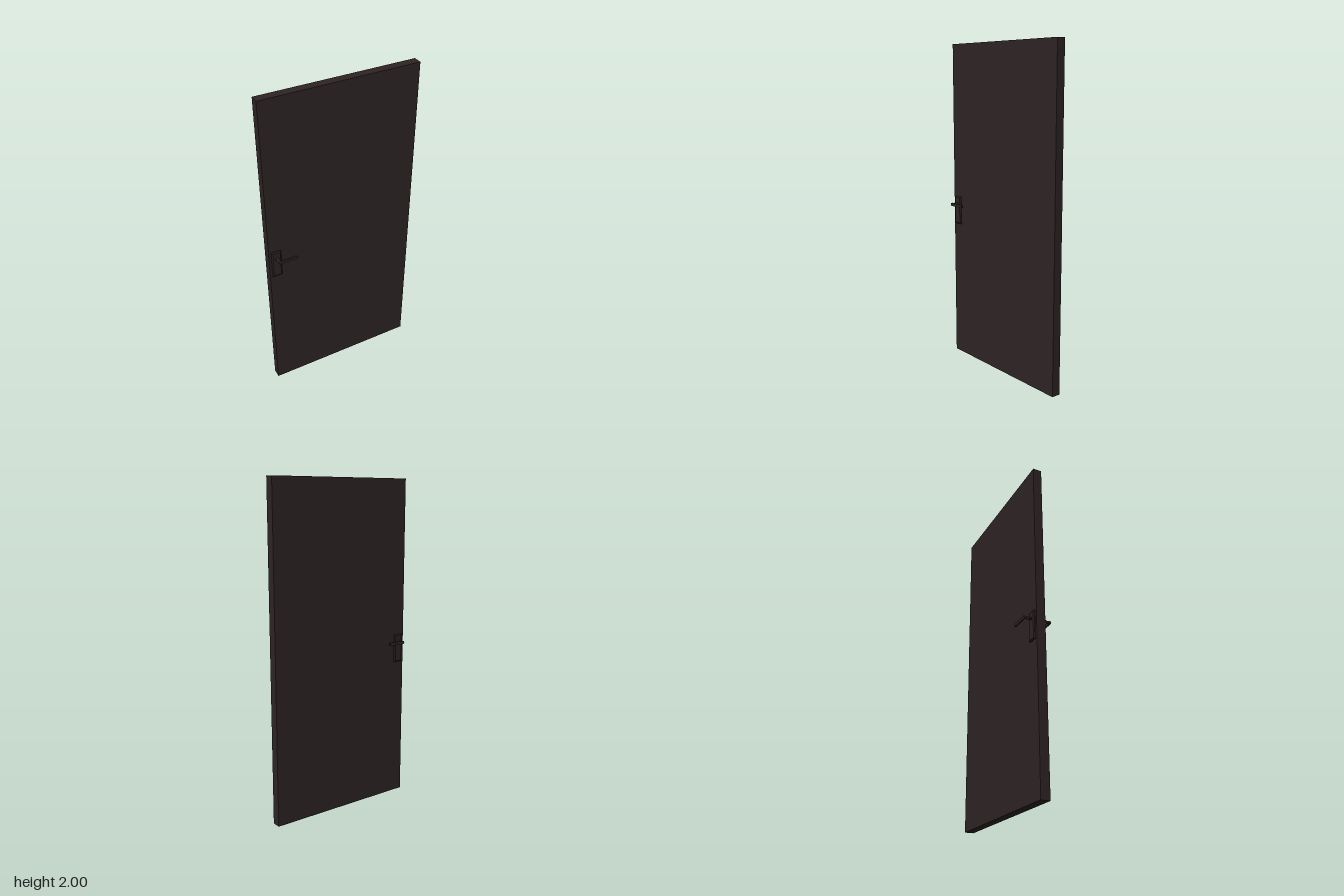
import * as THREE from 'three';

export function createModel() {
  const model = new THREE.Group();
  const darkBrown = new THREE.MeshStandardMaterial({ color: 0x2e2424 });
  darkBrown.name = 'darkBrown';

  const add = (parent, name, geometry, x, y, z) => {
    const mesh = new THREE.Mesh(geometry, darkBrown);
    mesh.name = name;
    mesh.position.set(x, y, z);
    parent.add(mesh);
    return mesh;
  };

  // Door slab
  add(model, 'doorPanel', new THREE.BoxGeometry(0.95, 2, 0.054), 0, 1, 0);

  // Box whose outer (+z) face is drawn in to give bevelled edges
  const bevelledPlate = (w, h, d, inset) => {
    const g = new THREE.BoxGeometry(w, h, d).toNonIndexed();
    const p = g.attributes.position;
    for (let i = 0; i < p.count; i++) {
      if (p.getZ(i) > 0) {
        p.setX(i, p.getX(i) - Math.sign(p.getX(i)) * inset);
        p.setY(i, p.getY(i) - Math.sign(p.getY(i)) * inset);
      }
    }
    g.computeVertexNormals();
    return g;
  };

  const round = (radius, length) =>
    new THREE.CylinderGeometry(radius, radius, length, 16).rotateX(Math.PI / 2);

  // Matching handle sets on the front and back
  for (const side of [1, -1]) {
    const handle = new THREE.Group();
    handle.name = side > 0 ? 'frontHandle' : 'backHandle';
    model.add(handle);

    // Backplate: straight rim, then bevelled cap
    add(handle, 'backplateRim', new THREE.BoxGeometry(0.06, 0.175, 0.006), -0.43, 0.957, side * 0.029);
    const cap = add(handle, 'backplateCap', bevelledPlate(0.06, 0.175, 0.005, 0.007), -0.43, 0.957, side * 0.0345);
    if (side < 0) cap.rotation.x = Math.PI;

    // Stem, its small side pin and the lever
    add(handle, 'stem', round(0.008, 0.05), -0.43, 1, side * 0.058);
    add(handle, 'pin', new THREE.BoxGeometry(0.01, 0.008, 0.008), -0.437, 1, side * 0.044);
    add(handle, 'leverEnd', round(0.01, 0.009), -0.428, 1, side * 0.0785);
    add(handle, 'lever', new THREE.BoxGeometry(0.108, 0.018, 0.009), -0.374, 1, side * 0.0785);
  }
  return model;
}
